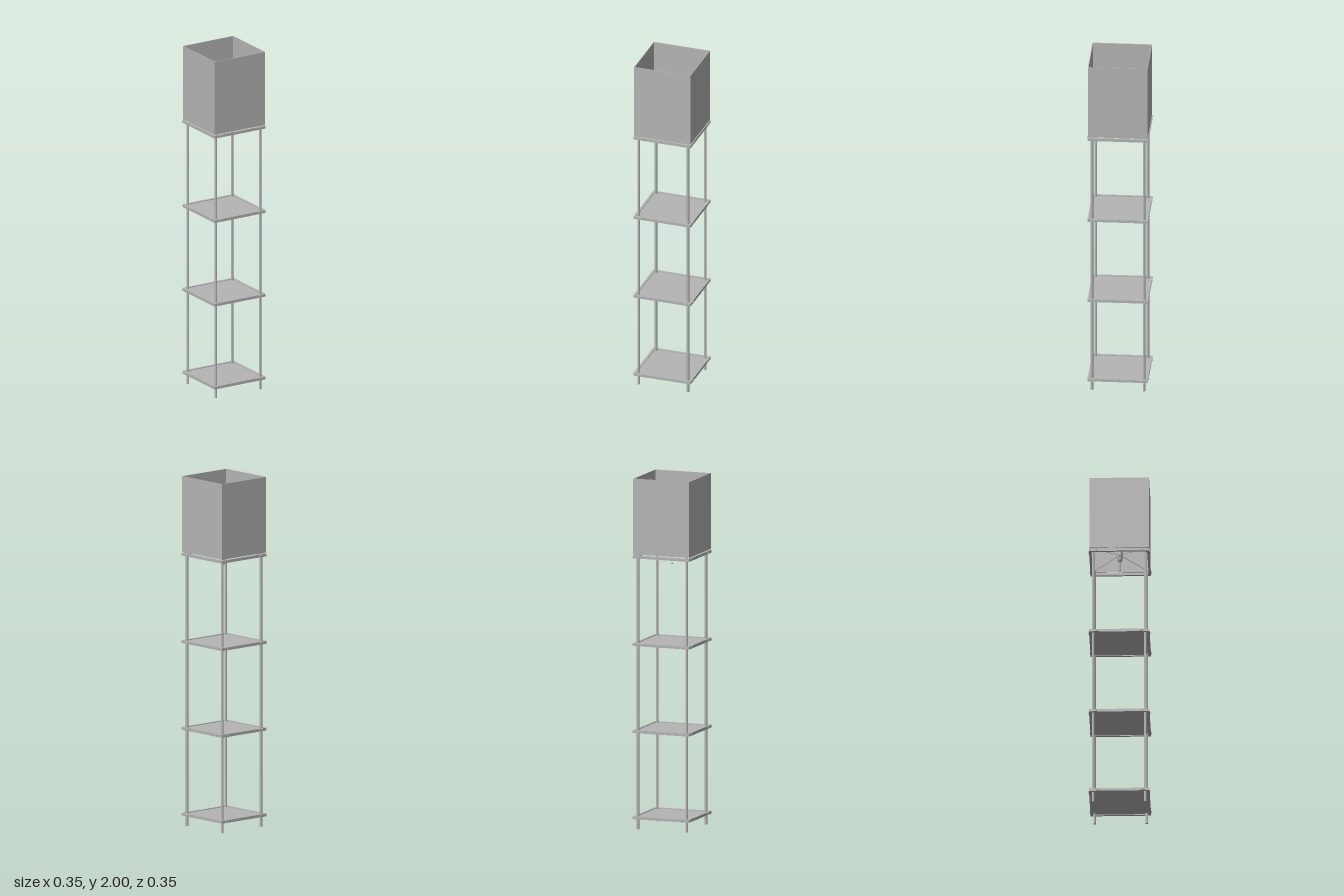
import * as THREE from 'three';

export function createModel() {
  const root = new THREE.Group();
  const grey = new THREE.MeshStandardMaterial({ color: 0xb4b4b4 });
  grey.name = 'grey';

  const add = (name, geo, x = 0, y = 0, z = 0, parent = root) => {
    const m = new THREE.Mesh(geo, grey);
    m.name = name;
    m.position.set(x, y, z);
    parent.add(m);
    return m;
  };

  // Square ring lying flat, its bottom at y = 0
  const squareRing = (outer, inner, height) => {
    const square = (h) => [[-h, -h], [h, -h], [h, h], [-h, h]].map(([x, y]) => new THREE.Vector2(x, y));
    const shape = new THREE.Shape(square(outer));
    shape.holes.push(new THREE.Path(square(inner).reverse()));
    return new THREE.ExtrudeGeometry(shape, { depth: height, bevelEnabled: false }).rotateX(-Math.PI / 2);
  };

  // Straight round rod between two points
  const rod = (name, a, b, r, parent = root) =>
    add(name, new THREE.TubeGeometry(new THREE.LineCurve3(a, b), 1, r, 8), 0, 0, 0, parent);

  const V = (x, y, z) => new THREE.Vector3(x, y, z);
  const post = 0.147;

  // Corner posts
  for (const sx of [-1, 1]) for (const sz of [-1, 1]) {
    add('cornerPost', new THREE.CylinderGeometry(0.0075, 0.0075, 1.57, 16), sx * post, 0.785, sz * post);
  }

  // Frames: three carry shelf panels, the top one carries the shade
  const levels = [0.067, 0.558, 1.054, 1.554];
  levels.forEach((y, i) => {
    const tier = new THREE.Group();
    tier.name = i < 3 ? 'shelf' : 'shadeFrame';
    tier.position.y = y;
    root.add(tier);
    add('rim', squareRing(0.17, 0.157, 0.016), 0, -0.008, 0, tier);
    if (i < 3) add('panel', new THREE.BoxGeometry(0.314, 0.008, 0.314), 0, 0, 0, tier);

    // Bolts and washers near both ends of every rim side
    for (let side = 0; side < 4; side++) {
      const holder = new THREE.Group();
      holder.name = 'rimBolts';
      holder.rotation.y = side * Math.PI / 2;
      tier.add(holder);
      for (const s of [-1, 1]) {
        add('washer', new THREE.BoxGeometry(0.035, 0.012, 0.002), s * 0.129, 0, 0.171, holder);
        add('bolt', new THREE.SphereGeometry(0.005, 10, 6), s * 0.129, 0, 0.17, holder);
        add('postClip', new THREE.BoxGeometry(0.012, 0.012, 0.012), s * post, 0, 0.153, holder);
      }
    }
  });

  // Open square shade
  add('shade', squareRing(0.168, 0.164, 0.432), 0, 1.568, 0);

  // Diagonal wires holding the lamp socket
  for (const sx of [-1, 1]) for (const sz of [-1, 1]) {
    rod('supportWire', V(sx * 0.164, 1.566, sz * 0.164), V(sx * 0.015, 1.595, sz * 0.015), 0.0015);
  }

  // Socket and bulb
  const profile = (pts) => pts.map(([x, y]) => new THREE.Vector2(x, y));
  add('socket', new THREE.LatheGeometry(profile([
    [0, 1.555], [0.008, 1.555], [0.014, 1.565], [0.016, 1.59], [0.018, 1.615], [0.015, 1.62], [0, 1.62],
  ]), 16));
  add('bulb', new THREE.LatheGeometry(profile([
    [0.013, 1.618], [0.016, 1.63], [0.026, 1.648], [0.03, 1.665], [0.028, 1.68], [0.02, 1.692], [0.011, 1.698], [0, 1.7],
  ]), 24));

  // Cross switch and pull chain
  rod('switchBar', V(-0.055, 1.58, 0), V(0.055, 1.58, 0), 0.0015);
  for (const s of [-1, 1]) {
    add('switchKnob', new THREE.SphereGeometry(0.004, 10, 8), s * 0.037, 1.58, 0);
    add('switchTip', new THREE.BoxGeometry(0.016, 0.008, 0.003), s * 0.047, 1.58, 0);
  }
  rod('pullChain', V(0, 1.505, 0), V(0, 1.56, 0), 0.0015);
  add('pullKnob', new THREE.SphereGeometry(0.005, 10, 8), 0, 1.503, 0);

  return root;
}
